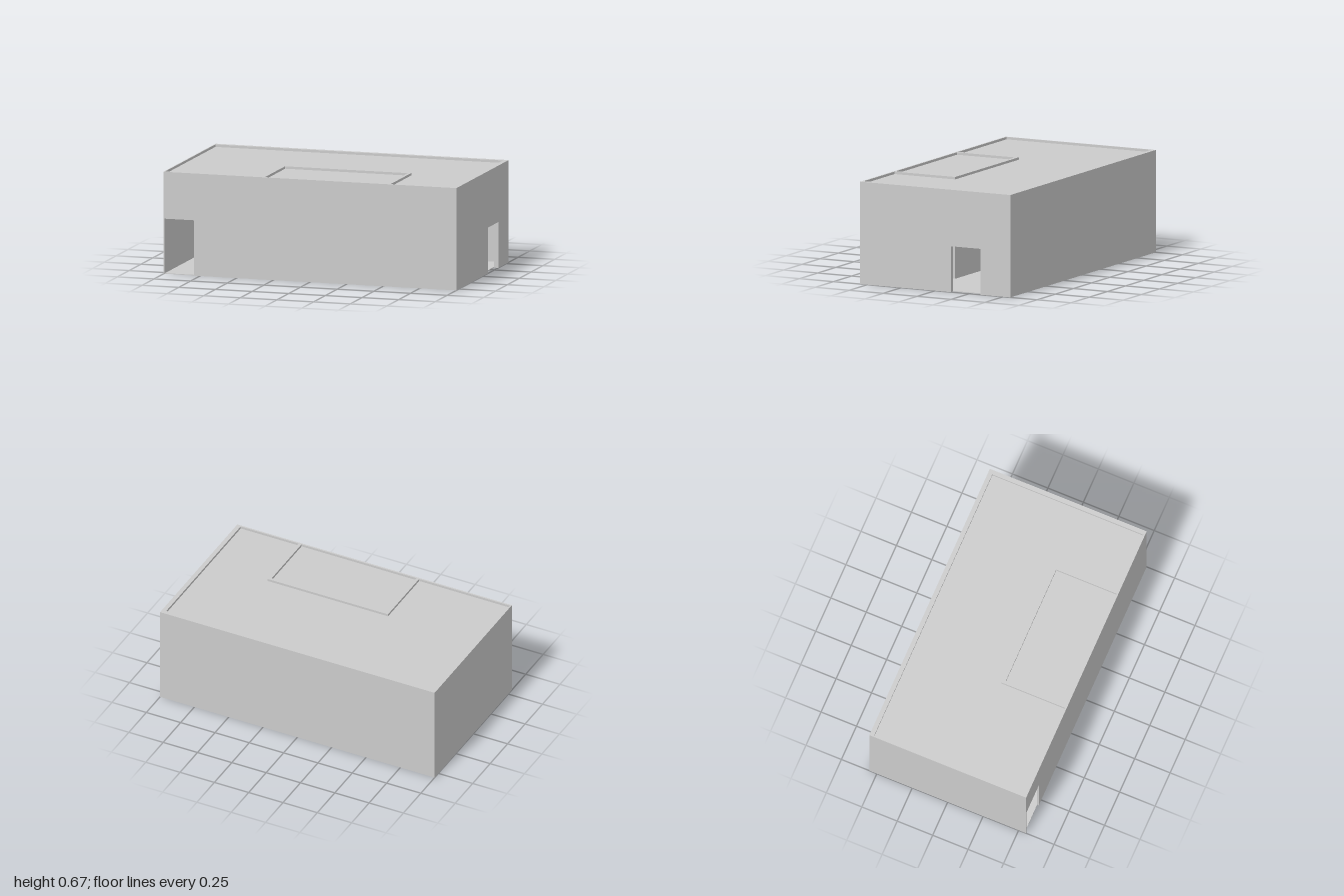
import * as THREE from 'three';

const H = 0.674, X = 1, Z = 0.553;            // wall height, half width, half depth
const BACK = 0.03, RIGHT = 0.03, LEFT = 0.008, FRONT = 0.011; // wall thicknesses
const CEILING = 0.658;

export function createModel() {
  const group = new THREE.Group();
  const material = new THREE.MeshStandardMaterial({ color: 0xcccccc, flatShading: true });

  const add = (name, geometry) => {
    const mesh = new THREE.Mesh(geometry, material);
    mesh.name = name;
    group.add(mesh);
    return mesh;
  };

  // Box given by its limits on each axis
  const block = (name, x0, x1, y0, y1, z0, z1) =>
    add(name, new THREE.BoxGeometry(x1 - x0, y1 - y0, z1 - z0)
      .translate((x0 + x1) / 2, (y0 + y1) / 2, (z0 + z1) / 2));

  // Upright wall from a to b with a doorway from d0 to d1 cut up from the ground
  const doorWall = (a, b, d0, d1, doorHeight, depth) => {
    const shape = new THREE.Shape([
      [a, 0], [d0, 0], [d0, doorHeight], [d1, doorHeight], [d1, 0], [b, 0], [b, H], [a, H],
    ].map(([x, y]) => new THREE.Vector2(x, y)));
    return new THREE.ExtrudeGeometry(shape, { depth, bevelEnabled: false });
  };

  const left = -X + LEFT, right = X - RIGHT, back = -Z + BACK, front = Z - FRONT;

  // Outer walls
  add('frontWall', doorWall(-X, X, left, -0.79, 0.378, FRONT).translate(0, 0, front));
  add('rightWall', doorWall(-front, -back, 0.115, 0.332, 0.302, RIGHT)
    .rotateY(Math.PI / 2).translate(right, 0, 0));
  block('backWall', -X, X, 0, H, -Z, back);
  block('leftWall', -X, left, 0, H, back, front);

  // Strip along the top of the front doorway
  block('frontDoorLintel', left, -0.79, 0.364, 0.378, front, front + 0.005);

  // Walls of the inner room, against the front wall
  const roomLeft = -0.33, roomRight = 0.547, roomBack = 0.096, t = 0.02;
  block('innerRoomLeftWall', roomLeft, roomLeft + t, 0, H, roomBack + t, front);
  block('innerRoomRightWall', roomRight - t, roomRight, 0, H, roomBack + t, front);
  block('innerRoomBackWall', roomLeft, roomRight, 0, H, roomBack, roomBack + t);

  // Floor and the roof slab set just below the wall tops
  block('floor', left, right, 0, 0.004, back, front);
  block('roof', left, right, CEILING - 0.005, CEILING, back, front);

  return group;
}
